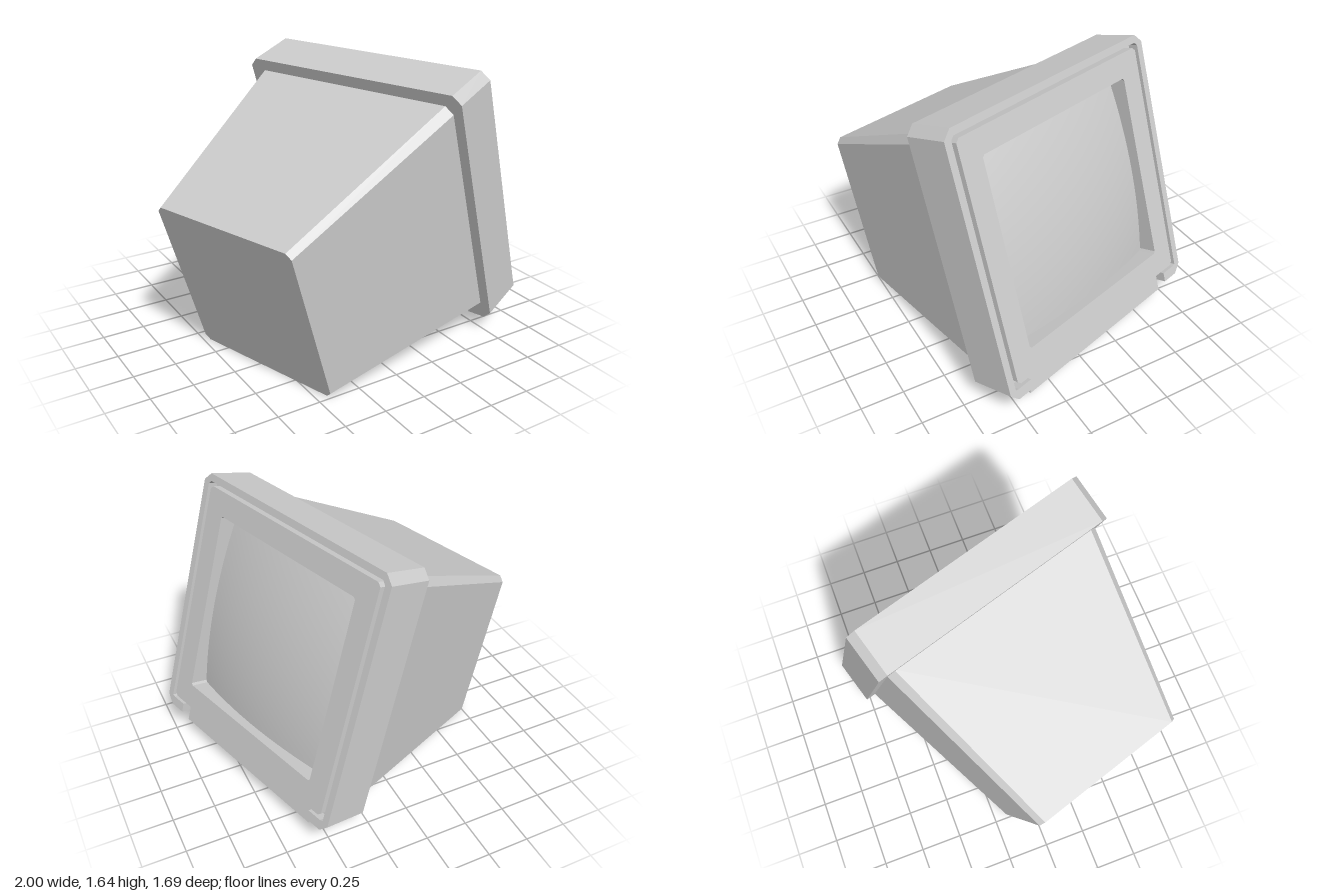
import * as THREE from 'three';

const material = new THREE.MeshStandardMaterial({ color: 0xcccccc, flatShading: true });
const smooth = new THREE.MeshStandardMaterial({ color: 0xcccccc });

// Rectangle with cut corners, from (-w, y0) to (w, y1)
function cutRect(w, y0, y1, c) {
  return [
    [-w + c, y0], [w - c, y0], [w, y0 + c], [w, y1 - c],
    [w - c, y1], [-w + c, y1], [-w, y1 - c], [-w, y0 + c],
  ].map(([x, y]) => new THREE.Vector2(x, y));
}

// Slab between two depths, with an optional hole
function slab(points, back, front, hole) {
  const shape = new THREE.Shape(points);
  if (hole) shape.holes.push(new THREE.Path(hole));
  const geo = new THREE.ExtrudeGeometry(shape, { depth: front - back, bevelEnabled: false });
  return geo.translate(0, 0, back);
}

export function createModel() {
  const root = new THREE.Group();
  root.name = 'tiltedMonitor';
  const set = new THREE.Group();
  set.name = 'monitor';
  root.add(set);
  const add = (name, geo, mat = material) => {
    const mesh = new THREE.Mesh(geo, mat);
    mesh.name = name;
    set.add(mesh);
  };

  // Housing tapering towards the back
  const back = -1.413, bezelBack = -0.28;
  const body = slab(cutRect(0.7, -0.7, 0.7, 0.045), back, bezelBack + 0.01);
  const p = body.attributes.position;
  for (let i = 0; i < p.count; i++) {
    const s = p.getZ(i) < -1 ? 0.7 : 1;
    p.setXY(i, p.getX(i) * s, p.getY(i) * s - 0.012);
  }
  body.computeVertexNormals();
  add('housing', body);

  // Outer rim, open at the middle of the bottom edge
  const w = 0.757, y0 = -0.777, y1 = 0.757, c = 0.05, gap = 0.6, t = 0.042;
  const rimHalf = [
    [gap, y0], [w - c, y0], [w, y0 + c], [w, y1 - c], [w - c, y1],
  ];
  const innerHalf = [
    [w - t - 0.02, y1 - t], [w - t, y1 - t - 0.02], [w - t, y0 + t + 0.02], [w - t - 0.02, -0.72], [gap, -0.72],
  ];
  const flip = (pts) => pts.map(([x, y]) => [-x, y]).reverse();
  const rim = [...rimHalf, ...flip(rimHalf), ...flip(innerHalf), ...innerHalf];
  // order: outer right, outer left, inner left, inner right
  const rimPoints = [
    ...rimHalf, ...flip(rimHalf),
    ...innerHalf.map(([x, y]) => [-x, y]).reverse(),
    ...innerHalf,
  ].slice(0, rim.length).map(([x, y]) => new THREE.Vector2(x, y));
  add('bezelRim', slab(rimPoints, bezelBack, 0));

  // Groove floor and front frame around the screen
  const opening = cutRect(0.555, -0.555, 0.555, 0.012);
  add('grooveFloor', slab(cutRect(0.735, -0.722, 0.735, 0.02), bezelBack, -0.06, opening));
  add('screenFrame', slab(cutRect(0.69, -0.7, 0.693, 0.02), -0.1, 0, opening));

  // Bulging glass
  const glass = new THREE.PlaneGeometry(1.12, 1.12, 24, 24);
  const g = glass.attributes.position;
  for (let i = 0; i < g.count; i++) {
    const u = g.getX(i) / 0.56, v = g.getY(i) / 0.56;
    g.setZ(i, -0.115 + 0.05 * (1 - u * u) + 0.05 * (1 - v * v));
  }
  glass.computeVertexNormals();
  add('screenGlass', glass, smooth);

  // Control strip hanging in the gap, its underside rising to the back
  const strip = new THREE.BoxGeometry(1.17, 0.135, 0.2).translate(0, -0.768, -0.15);
  const q = strip.attributes.position;
  for (let i = 0; i < q.count; i++) {
    if (q.getY(i) < -0.8 && q.getZ(i) < -0.2) q.setY(i, -0.805);
  }
  strip.computeVertexNormals();
  add('controlStrip', strip);

  // Lean and turn the whole set
  const up = new THREE.Vector3(-0.289, 0.954, 0.081).normalize();
  const normal = new THREE.Vector3().crossVectors(up, new THREE.Vector3(0.296, 0.011, 0.955)).normalize();
  const side = new THREE.Vector3().crossVectors(up, normal);
  set.quaternion.setFromRotationMatrix(new THREE.Matrix4().makeBasis(side, up, normal));
  set.position.set(0.5625, 0.9225, -0.07);

  return root;
}
